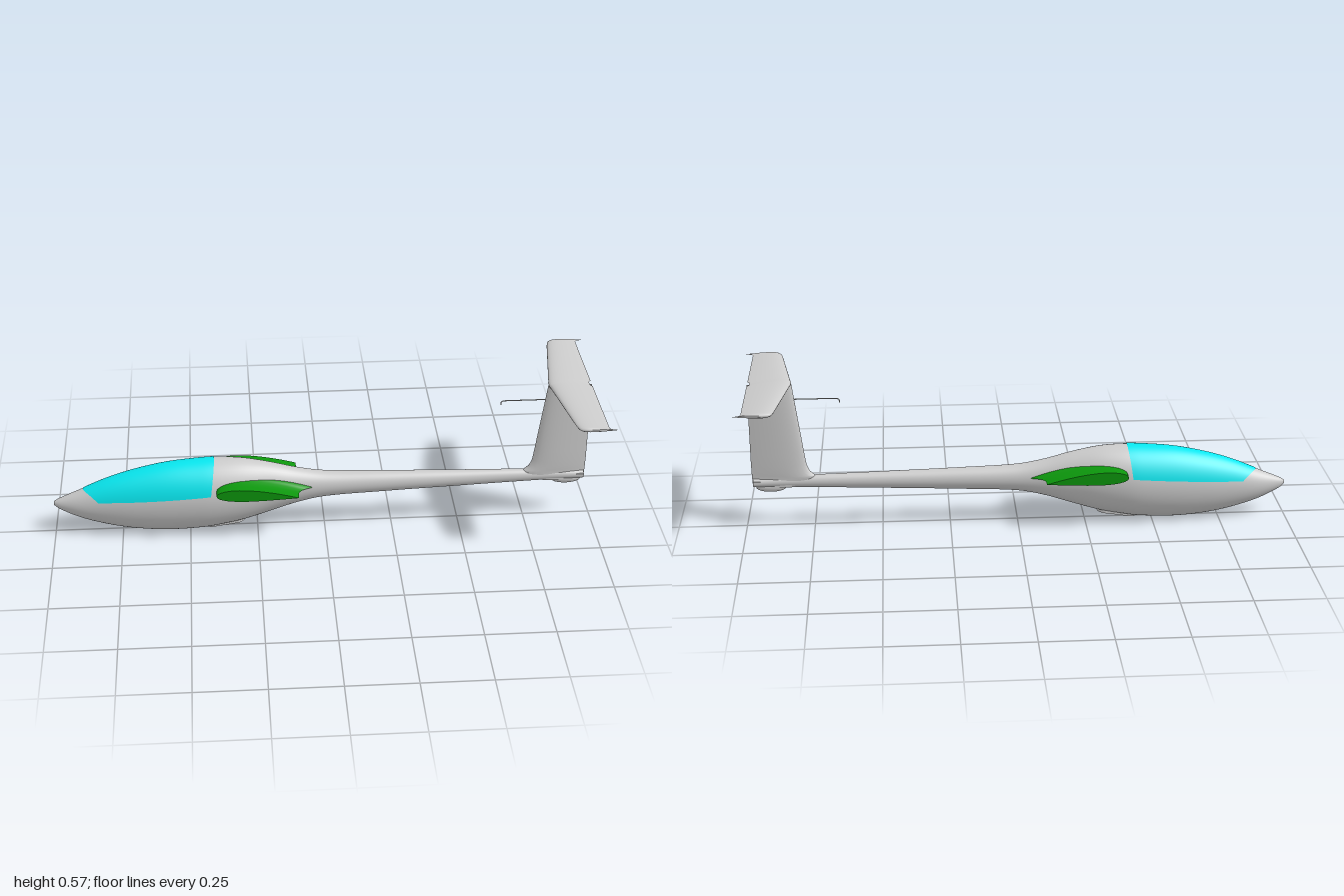
import * as THREE from 'three';

const grey = new THREE.MeshStandardMaterial({ color: 0xcccccc, side: THREE.DoubleSide });
const green = new THREE.MeshStandardMaterial({ color: 0x0c960c, side: THREE.DoubleSide });
const cyan = new THREE.MeshStandardMaterial({ color: 0x08e8f0, side: THREE.DoubleSide });

// Fuselage stations: x, top, bottom, half width
const body = [
  [-1, 0.131, 0.117, 0.006], [-0.98, 0.142, 0.1, 0.017], [-0.9, 0.175, 0.062, 0.043],
  [-0.8, 0.217, 0.031, 0.064], [-0.7, 0.248, 0.012, 0.08], [-0.58, 0.273, 0.003, 0.093],
  [-0.45, 0.285, 0.009, 0.1], [-0.38, 0.287, 0.02, 0.097], [-0.3, 0.282, 0.036, 0.086],
  [-0.2, 0.263, 0.066, 0.066], [-0.1, 0.237, 0.098, 0.051], [0, 0.22, 0.119, 0.043],
  [0.2, 0.212, 0.13, 0.036], [0.5, 0.204, 0.142, 0.027], [0.8, 0.197, 0.153, 0.019],
  [0.97, 0.187, 0.157, 0.015],
];

// Smooth cubic interpolation of column k at x
function bodyAt(x, k) {
  const n = body.length;
  let i = 0;
  while (i < n - 2 && x > body[i + 1][0]) i++;
  const slope = (j) => {
    const a = body[Math.max(j - 1, 0)], b = body[Math.min(j + 1, n - 1)];
    return (b[k] - a[k]) / (b[0] - a[0]);
  };
  const a = body[i], b = body[i + 1], d = b[0] - a[0], t = (x - a[0]) / d;
  const t2 = t * t, t3 = t2 * t;
  return (2 * t3 - 3 * t2 + 1) * a[k] + (t3 - 2 * t2 + t) * d * slope(i)
    + (3 * t2 - 2 * t3) * b[k] + (t3 - t2) * d * slope(i + 1);
}

// Point on the fuselage skin; angle is measured from the top
function skin(x, angle, out = 0) {
  const top = bodyAt(x, 1), bottom = bodyAt(x, 2);
  return new THREE.Vector3(x,
    (top + bottom) / 2 + Math.cos(angle) * ((top - bottom) / 2 + out),
    Math.sin(angle) * (bodyAt(x, 3) + out));
}

// Skin over equal-length rows of points, with optional flat end caps
function loft(rows, wrap, caps) {
  const pos = [], index = [], m = rows[0].length;
  rows.forEach((row) => row.forEach((p) => pos.push(p.x, p.y, p.z)));
  for (let i = 0; i < rows.length - 1; i++) {
    for (let j = 0; j < (wrap ? m : m - 1); j++) {
      const k = (j + 1) % m, a = i * m, b = a + m;
      index.push(a + j, b + j, a + k, a + k, b + j, b + k);
    }
  }
  if (caps) {
    [rows[0], rows[rows.length - 1]].forEach((row, end) => {
      const base = pos.length / 3, mid = new THREE.Vector3();
      row.forEach((p) => { mid.addScaledVector(p, 1 / m); pos.push(p.x, p.y, p.z); });
      pos.push(mid.x, mid.y, mid.z);
      for (let j = 0; j < m; j++) {
        const k = (j + 1) % m;
        if (end) index.push(base + m, base + k, base + j);
        else index.push(base + m, base + j, base + k);
      }
    });
    // Turn all faces outward if the enclosed volume is negative
    let volume = 0;
    const v = (i) => new THREE.Vector3().fromArray(pos, i * 3);
    for (let i = 0; i < index.length; i += 3) {
      volume += v(index[i]).dot(v(index[i + 1]).cross(v(index[i + 2])));
    }
    if (volume < 0) index.reverse();
  }
  const g = new THREE.BufferGeometry();
  g.setAttribute('position', new THREE.Float32BufferAttribute(pos, 3));
  g.setIndex(index);
  g.computeVertexNormals();
  return g;
}

// Aerofoil loft; stations: span, leading x, trailing x, offset, half thickness, trailing-edge drop
function foilLoft(stations, place) {
  const steps = 14;
  return loft(stations.map(([span, le, te, offset, half, drop = 0]) => {
    const row = [];
    for (let i = -steps; i <= steps; i++) {
      const c = (1 - Math.cos(Math.PI * i / steps)) / 2;
      const t = 2 * half * (1.4845 * Math.sqrt(c) - 0.63 * c - 1.758 * c * c
        + 1.4215 * c ** 3 - 0.518 * c ** 4) * Math.sign(i);
      row.push(place(le + (te - le) * c, offset + t - drop * c * c, span));
    }
    return row;
  }), false, true);
}

export function createModel() {
  const model = new THREE.Group();
  const add = (name, geometry, material = grey) => {
    const mesh = new THREE.Mesh(geometry, material);
    mesh.name = name;
    model.add(mesh);
    return mesh;
  };

  // Fuselage and tail boom
  const rings = [];
  for (let i = 0; i <= 100; i++) {
    const x = -1 + 1.97 * (i / 100) ** 1.3;
    rings.push(Array.from({ length: 48 }, (_, j) => skin(x, j / 48 * Math.PI * 2)));
  }
  add('fuselage', loft(rings, true, true));

  // Canopy, a patch lying just above the fuselage skin
  const canopy = [];
  for (let i = 0; i <= 40; i++) {
    const row = [];
    for (let j = -20; j <= 20; j++) {
      const s = Math.sin((1 - Math.abs(j) / 20) * Math.PI / 2);
      const x = THREE.MathUtils.lerp(-0.835 - 0.055 * s, -0.42 + 0.015 * s, i / 40);
      const mid = (bodyAt(x, 1) + bodyAt(x, 2)) / 2;
      const sill = 0.15 + (x + 0.835) * 0.085;
      const limit = Math.acos((sill - mid) / (bodyAt(x, 1) - mid));
      row.push(skin(x, limit * j / 20, 0.002));
    }
    canopy.push(row);
  }
  add('canopy', loft(canopy, false, false), cyan);

  // Wing root stubs, flaring into the fuselage
  for (const side of [1, -1]) {
    add(side > 0 ? 'leftWingRoot' : 'rightWingRoot', foilLoft([
      [0.03, -0.402, -0.04, 0.203, 0.037, 0.022], [0.05, -0.402, -0.05, 0.203, 0.036, 0.022],
      [0.058, -0.401, -0.07, 0.203, 0.034, 0.021], [0.068, -0.4, -0.085, 0.203, 0.031, 0.02],
      [0.085, -0.4, -0.097, 0.204, 0.027, 0.019], [0.1, -0.4, -0.1, 0.204, 0.025, 0.018],
      [0.125, -0.4, -0.1, 0.204, 0.024, 0.018],
    ], (x, t, span) => new THREE.Vector3(x, t, span * side)), green);
  }

  // Fin and rudder with a curved fillet at the foot
  add('fin', foilLoft([
    [0.157, 0.8, 0.972, 0, 0.016], [0.185, 0.72, 0.973, 0, 0.018], [0.2, 0.745, 0.974, 0, 0.018],
    [0.215, 0.762, 0.974, 0, 0.018], [0.24, 0.773, 0.975, 0, 0.018], [0.28, 0.779, 0.975, 0, 0.018],
    [0.552, 0.815, 0.975, 0, 0.014],
  ], (x, t, span) => new THREE.Vector3(x, span, t)));

  // Tailplane with rounded tips and small trailing horns
  const half = [
    [0.012, 0.816, 0.965, 0.555, 0.0135], [0.02, 0.818, 0.973, 0.555, 0.0135],
    [0.3, 0.86, 0.973, 0.556, 0.01], [0.325, 0.866, 0.973, 0.556, 0.0095],
    [0.334, 0.872, 0.978, 0.556, 0.009], [0.339, 0.882, 0.998, 0.556, 0.007],
    [0.342, 0.9, 1, 0.556, 0.004],
  ];
  const mirrored = half.map(([z, ...rest]) => [-z, ...rest]).reverse();
  add('tailplane', foilLoft([...mirrored, ...half], (x, t, span) => new THREE.Vector3(x, t, span)));

  // Tail skid fairing under the fin
  const skid = add('tailSkid', new THREE.SphereGeometry(1, 24, 16));
  skid.scale.set(0.055, 0.018, 0.012);
  skid.position.set(0.905, 0.154, 0);

  // Rudder control horns
  const horn = add('rudderHorns', new THREE.BoxGeometry(0.025, 0.005, 0.036));
  horn.position.set(0.955, 0.178, 0);

  // Air data probe ahead of the fin
  const probe = new THREE.CurvePath();
  const p = [[0.82, 0.494], [0.652, 0.494], [0.645, 0.488], [0.645, 0.478]]
    .map(([x, y]) => new THREE.Vector3(x, y, 0));
  for (let i = 0; i < 3; i++) probe.add(new THREE.LineCurve3(p[i], p[i + 1]));
  add('probe', new THREE.TubeGeometry(probe, 60, 0.002, 8));

  // Wheel door, a pill-shaped panel in the belly
  const pill = new THREE.Shape();
  pill.absarc(0.045, 0, 0.029, -Math.PI / 2, Math.PI / 2);
  pill.absarc(-0.045, 0, 0.029, Math.PI / 2, Math.PI * 1.5);
  const door = new THREE.ExtrudeGeometry(pill, { depth: 0.016, bevelEnabled: false, curveSegments: 16 });
  door.rotateX(-Math.PI / 2).rotateZ(0.15).translate(-0.37, 0.019, 0);
  add('wheelDoor', door);

  return model;
}
